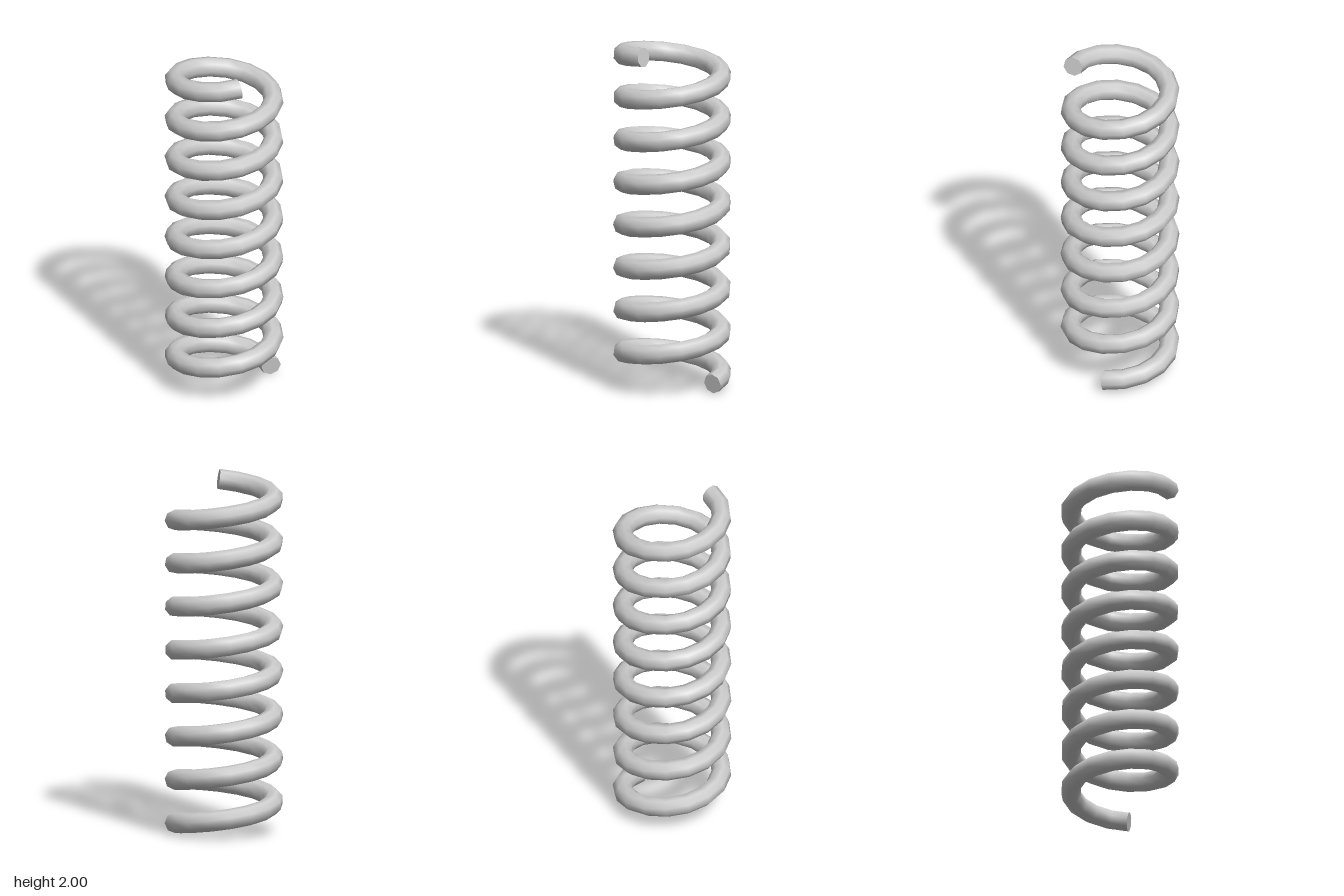
import * as THREE from 'three';

const COIL_RADIUS = 0.2755, WIRE_RADIUS = 0.0565;
const TURNS = 7.75, STEPS_PER_TURN = 16, SIDES = 8;
const Y_START = 0.056, Y_END = 1.944;

// Centre line of the wire: from +x, round by -z, rising steadily
class Helix extends THREE.Curve {
  getPoint(t, target = new THREE.Vector3()) {
    const a = t * TURNS * Math.PI * 2;
    return target.set(
      Math.cos(a) * COIL_RADIUS,
      THREE.MathUtils.lerp(Y_START, Y_END, t),
      -Math.sin(a) * COIL_RADIUS
    );
  }
}

// Flat disc closing one end ring of the tube
function endCap(tube, ring, centre, flip) {
  const pos = tube.attributes.position;
  const points = [centre];
  for (let i = 0; i < SIDES; i++) {
    points.push(new THREE.Vector3().fromBufferAttribute(pos, ring * (SIDES + 1) + i));
  }
  const index = [];
  for (let i = 0; i < SIDES; i++) {
    const a = 1 + i, b = 1 + (i + 1) % SIDES;
    index.push(0, flip ? b : a, flip ? a : b);
  }
  const cap = new THREE.BufferGeometry().setFromPoints(points);
  cap.setIndex(index);
  cap.computeVertexNormals();
  return cap;
}

export function createModel() {
  const group = new THREE.Group();
  group.name = 'coilSpring';
  const material = new THREE.MeshStandardMaterial({ color: 0xcccccc });
  const add = (name, geometry) => {
    const mesh = new THREE.Mesh(geometry, material);
    mesh.name = name;
    group.add(mesh);
  };

  // Coiled wire
  const helix = new Helix();
  const steps = TURNS * STEPS_PER_TURN;
  const tube = new THREE.TubeGeometry(helix, steps, WIRE_RADIUS, SIDES, false);
  add('coil', tube);

  // Cut ends of the wire
  add('bottomEnd', endCap(tube, 0, helix.getPoint(0), false));
  add('topEnd', endCap(tube, steps, helix.getPoint(1), true));
  return group;
}
